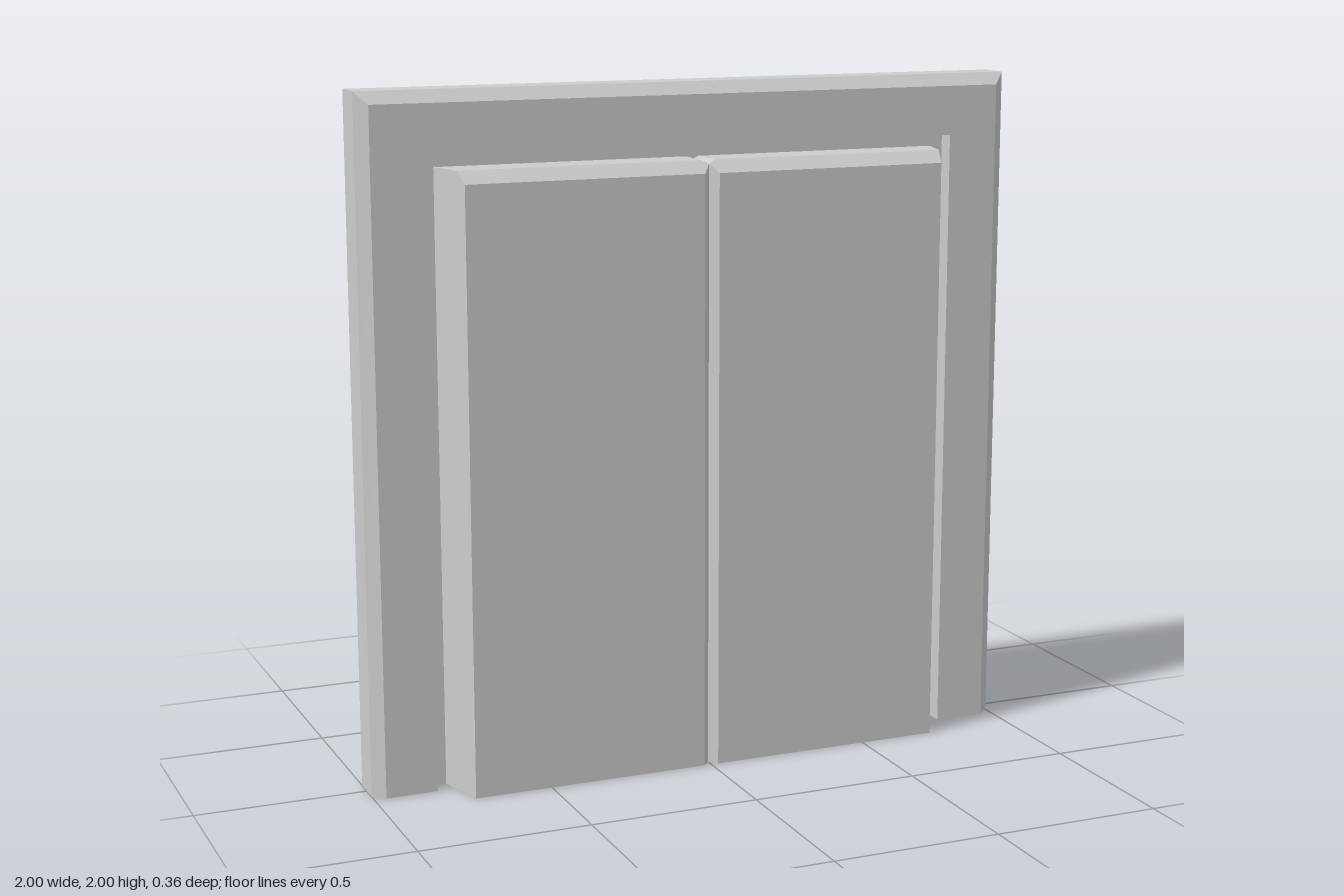
import * as THREE from 'three';
import { ConvexGeometry } from 'three/addons/geometries/ConvexGeometry.js';

const metal = new THREE.MeshStandardMaterial({ color: 0xcccccc });
metal.name = 'light grey';

// Frame section: [inset from side, inset from top, z], front half, outside to inside
const half = [
  [0, 0, 0.05], [0.035, 0.035, 0.08], [0.188, 0.18, 0.08],
  [0.188, 0.18, 0.03], [0.235, 0.225, 0.03],
];
const section = [...half, ...half.map(([a, b, z]) => [a, b, -z]).reverse()];

// Sweep the section up one jamb, across the head and down the other jamb
function frameGeometry() {
  const stations = [[1, 0], [1, 1], [-1, 1], [-1, 0]];
  const rings = stations.map(([side, top]) =>
    section.map(([dx, dy, z]) => new THREE.Vector3(side * (1 - dx), top * (2 - dy), z)));
  const points = [];
  const n = section.length;
  for (let i = 0; i < 3; i++) {
    for (let j = 0; j < n; j++) {
      const k = (j + 1) % n;
      const a = rings[i][j], b = rings[i][k], c = rings[i + 1][k], d = rings[i + 1][j];
      points.push(a, d, c, a, c, b);
    }
  }
  // Feet of the jambs, facing down
  for (const ring of [rings[0], rings[3]]) {
    const flat = ring.map((p) => new THREE.Vector2(p.x, p.z));
    for (const [i, j, k] of THREE.ShapeUtils.triangulateShape(flat, [])) {
      const [a, b, c] = [ring[i], ring[j], ring[k]];
      const up = b.clone().sub(a).cross(c.clone().sub(a)).y;
      points.push(a, ...(up > 0 ? [c, b] : [b, c]));
    }
  }
  const geometry = new THREE.BufferGeometry().setFromPoints(points);
  geometry.computeVertexNormals();
  return geometry;
}

// One door leaf: tapered outer edge, bevelled top, chamfered meeting edge
function leafGeometry(side) {
  const points = [];
  const add = (x, y, z) => points.push(new THREE.Vector3(side * x, y, z));
  const top = 1.785;
  add(0.78, 0, 0);
  add(0.78, top, 0);
  for (const s of [1, -1]) {
    add(0, 0, s * 0.155);
    add(0.022, 0, s * 0.18);
    add(0.73, 0, s * 0.18);
    add(0, top - 0.01, s * 0.155);
    add(0.022, top - 0.035, s * 0.18);
    add(0.73, top - 0.035, s * 0.18);
    add(0.02, top, s * 0.145);
    add(0.7397, top, s * 0.145);
  }
  return new ConvexGeometry(points);
}

export function createModel() {
  const group = new THREE.Group();
  group.name = 'doubleDoor';
  const add = (name, geometry) => {
    const mesh = new THREE.Mesh(geometry, metal);
    mesh.name = name;
    group.add(mesh);
  };
  add('doorFrame', frameGeometry());
  add('leftDoorLeaf', leafGeometry(1));
  add('rightDoorLeaf', leafGeometry(-1));
  return group;
}
